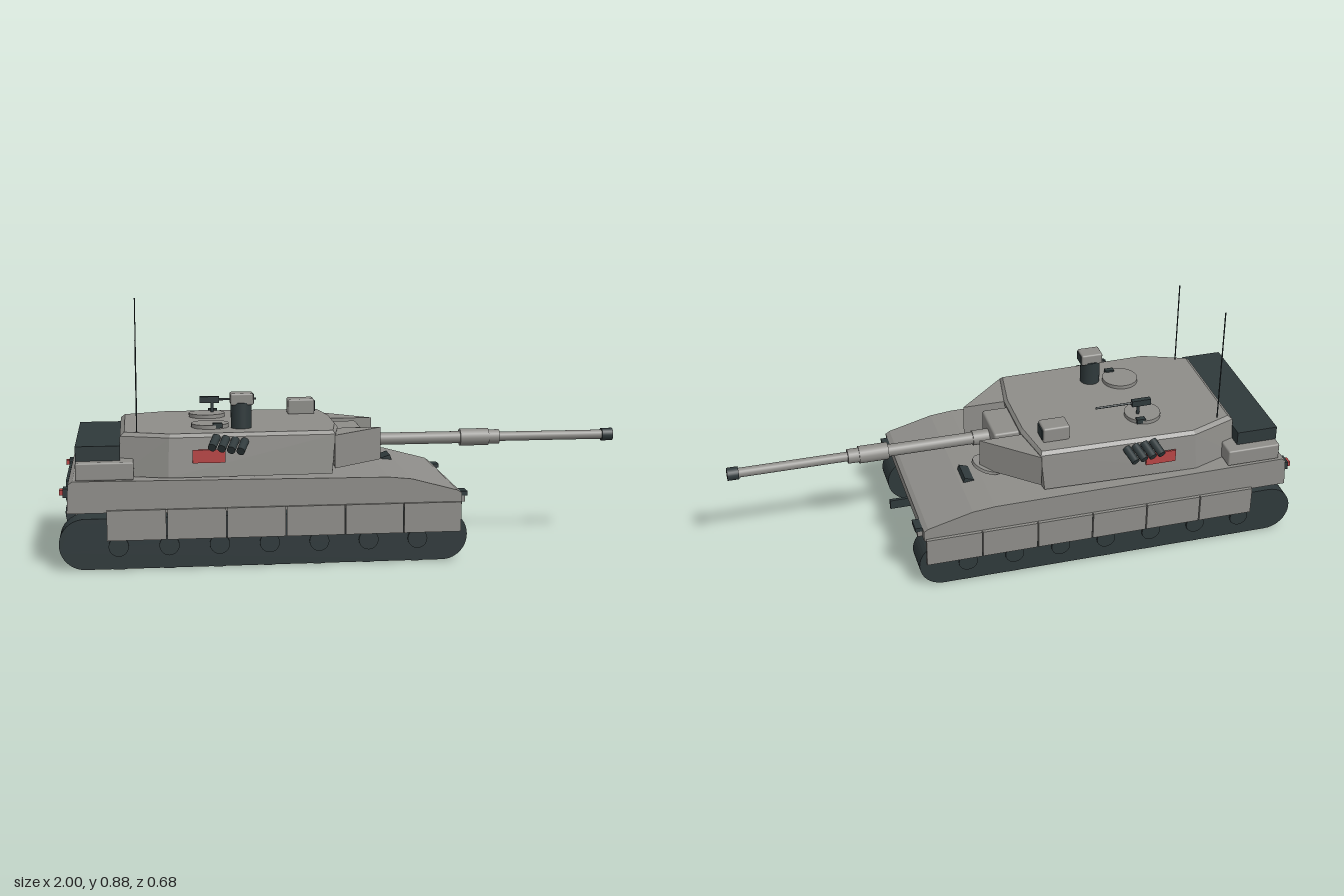
import * as THREE from 'three';
import { ConvexGeometry } from 'three/addons/geometries/ConvexGeometry.js';
import { RoundedBoxGeometry } from 'three/addons/geometries/RoundedBoxGeometry.js';

const mat = (name, color) => {
  const m = new THREE.MeshStandardMaterial({ color });
  m.name = name;
  return m;
};

export function createModel() {
  const root = new THREE.Group();
  root.name = 'tank';
  const grey = mat('armour grey', 0x8e8d89);
  const dark = mat('dark metal', 0x2f393b);
  const red = mat('red', 0xb84545);

  const add = (name, geo, m, x = 0, y = 0, z = 0) => {
    const mesh = new THREE.Mesh(geo, m);
    mesh.name = name;
    mesh.position.set(x, y, z);
    root.add(mesh);
    return mesh;
  };
  // Box given by its extents along each axis
  const box = (name, m, x0, x1, y0, y1, z0, z1, r = 0) => {
    const s = [x1 - x0, y1 - y0, z1 - z0];
    const geo = r ? new RoundedBoxGeometry(...s, 2, r) : new THREE.BoxGeometry(...s);
    return add(name, geo, m, (x0 + x1) / 2, (y0 + y1) / 2, (z0 + z1) / 2);
  };
  // Side profile extruded across z
  const slab = (name, m, shape, z0, z1, segs = 10) => add(name,
    new THREE.ExtrudeGeometry(shape, { depth: z1 - z0, bevelEnabled: false, curveSegments: segs }), m, 0, 0, z0);
  const poly = pts => new THREE.Shape(pts.map(p => new THREE.Vector2(...p)));
  // Cylinder between two points
  const rod = (name, m, a, b, r, segs = 16) => {
    const A = new THREE.Vector3(...a), B = new THREE.Vector3(...b);
    const mid = A.clone().add(B).multiplyScalar(0.5);
    const mesh = add(name, new THREE.CylinderGeometry(r, r, A.distanceTo(B), segs), m, mid.x, mid.y, mid.z);
    mesh.quaternion.setFromUnitVectors(new THREE.Vector3(0, 1, 0), B.sub(A).normalize());
    return mesh;
  };
  // Solid stacked from mirrored plan outlines [y, [[x, z], ...]]
  const stack = (name, m, layers) => {
    const pts = [];
    for (const [y, plan] of layers)
      for (const [x, z] of plan) pts.push(new THREE.Vector3(x, y, z), new THREE.Vector3(x, y, -z));
    return add(name, new ConvexGeometry(pts), m);
  };

  // Hull
  slab('lowerHull', grey, poly([[-0.93, 0.08], [0.29, 0.08], [0.37, 0.2], [-0.95, 0.2]]), -0.21, 0.21);
  slab('upperHull', grey, poly([[-0.97, 0.196], [0.375, 0.196], [0.375, 0.235], [0.36, 0.245],
    [0.2, 0.288], [0.12, 0.296], [-0.95, 0.305], [-0.965, 0.295]]), -0.325, 0.325);
  box('rearGrille', dark, -0.976, -0.968, 0.215, 0.285, -0.2, 0.2);
  box('towHook', dark, 0.345, 0.43, 0.125, 0.16, -0.006, 0.006);

  // Driver hatch and periscope on the front deck
  const hatch = add('driverHatch', new THREE.CylinderGeometry(0.057, 0.057, 0.012, 24), grey, 0.09, 0.32, -0.1);
  hatch.rotation.z = 0.33;
  const scope = add('driverPeriscope', new THREE.BoxGeometry(0.035, 0.018, 0.09), dark, 0.17, 0.293, -0.1);
  scope.rotation.z = 0.33;

  for (const s of [1, -1]) {
    const zs = (a, b) => (s > 0 ? [a, b] : [-b, -a]);
    // Running gear
    const track = new THREE.Shape();
    track.moveTo(-0.912, 0.002);
    track.lineTo(0.307, 0.002);
    track.absarc(0.307, 0.089, 0.087, -Math.PI / 2, Math.PI / 2, false);
    track.lineTo(-0.912, 0.176);
    track.absarc(-0.912, 0.089, 0.087, Math.PI / 2, Math.PI * 1.5, false);
    slab('track', dark, track, ...zs(0.214, 0.322));
    for (let i = 0; i < 7; i++) {
      const x = -0.8 + i * 0.17;
      rod('wheelHub', dark, [x, 0.08, s * 0.3], [x, 0.08, s * 0.329], 0.034, 20);
      box('trackPad', dark, x - 0.02, x + 0.02, 0, 0.004, ...zs(0.216, 0.32));
    }
    // Side skirts
    for (let i = 0; i < 6; i++) {
      const x = -0.84 + i * 0.202;
      box('skirtPanel', grey, x + 0.002, x + 0.2, 0.103, 0.206, ...zs(0.329, 0.34));
    }
    box('skirtMount', grey, -0.83, 0.36, 0.192, 0.204, ...zs(0.315, 0.33));
    // Lights
    box('headlightBody', grey, 0.365, 0.392, 0.198, 0.224, ...zs(0.245, 0.294));
    box('headlightHood', dark, 0.36, 0.4, 0.22, 0.235, ...zs(0.241, 0.297));
    box('tailLightMount', dark, -0.982, -0.965, 0.25, 0.28, ...zs(0.27, 0.315));
    box('tailLight', red, -0.994, -0.98, 0.257, 0.274, ...zs(0.277, 0.308));
    // Stowage box on the rear fender
    box('stowageBox', grey, -0.94, -0.745, 0.305, 0.366, ...zs(0.225, 0.318), 0.006);
    // Angled turret cheek
    const cheek = [];
    for (const y of [0.322, 0.437])
      for (const [x, z] of [[-0.06, 0.278], [0.122, 0.115], [-0.05, 0.115]])
        cheek.push(new THREE.Vector3(x, y, s * z));
    add('turretCheek', new ConvexGeometry(cheek), grey);
    // Recognition panel and smoke launchers
    box('redPanel', red, -0.547, -0.437, 0.355, 0.4, ...zs(0.296, 0.303));
    for (let i = 0; i < 4; i++) {
      const x = -0.465 + i * 0.032, y = 0.438 - i * 0.005;
      rod('smokeLauncher', dark, [x, y, s * 0.277], [x - 0.018, y - 0.026, s * 0.333], 0.0145, 12);
    }
    // Roof hatches with small vision blocks
    add('roofHatch', new THREE.CylinderGeometry(0.065, 0.065, 0.017, 32), grey, -0.48, 0.457, s * 0.125);
    box('visionBlock', dark, -0.472, -0.44, 0.455, 0.472, ...zs(0.167, 0.187));
    // Aerials
    rod('aerial', dark, [-0.733, 0.44, s * 0.214], [-0.733, s > 0 ? 0.767 : 0.877, s * 0.214], 0.0022, 6);
  }

  // Turret
  stack('turret', grey, [
    [0.305, [[-0.8, 0.235], [-0.63, 0.297], [-0.07, 0.283], [-0.05, 0.11]]],
    [0.44, [[-0.79, 0.222], [-0.625, 0.284], [-0.058, 0.272], [-0.03, 0.11]]],
    [0.452, [[-0.775, 0.212], [-0.62, 0.272], [-0.065, 0.26], [-0.04, 0.1]]],
  ]);
  box('rearRack', dark, -0.94, -0.79, 0.318, 0.416, -0.28, 0.28);

  // Main gun
  box('mantlet', grey, -0.08, 0.06, 0.322, 0.432, -0.086, 0.086, 0.008);
  const gun = (name, m, x0, x1, r) => rod(name, m, [x0, 0.376, 0], [x1, 0.376, 0], r, 24);
  gun('barrelCollar', grey, 0.05, 0.12, 0.027);
  gun('barrelBase', grey, 0.1, 0.44, 0.022);
  gun('boreEvacuator', grey, 0.43, 0.535, 0.031);
  gun('boreEvacuatorEnd', grey, 0.53, 0.575, 0.026);
  gun('barrel', grey, 0.56, 0.97, 0.017);
  gun('muzzle', dark, 0.96, 1.0, 0.023);

  // Commander's sight
  rod('sightColumn', dark, [-0.373, 0.445, 0.157], [-0.373, 0.541, 0.157], 0.036, 24);
  box('sightHead', grey, -0.411, -0.332, 0.533, 0.574, 0.127, 0.188, 0.006);
  box('sightHeadGlass', dark, -0.334, -0.329, 0.538, 0.568, 0.133, 0.182);

  // Gunner's sight
  box('gunnerSight', grey, -0.182, -0.085, 0.448, 0.506, -0.21, -0.14, 0.007);
  box('gunnerSightGlass', dark, -0.087, -0.081, 0.46, 0.497, -0.203, -0.147);

  // Roof machine gun
  box('machineGunBody', dark, -0.505, -0.435, 0.5, 0.523, -0.143, -0.124);
  rod('machineGunBarrel', dark, [-0.44, 0.512, -0.133], [-0.3, 0.512, -0.133], 0.004, 8);
  rod('machineGunMount', dark, [-0.46, 0.46, -0.133], [-0.46, 0.505, -0.133], 0.006, 8);

  return root;
}
